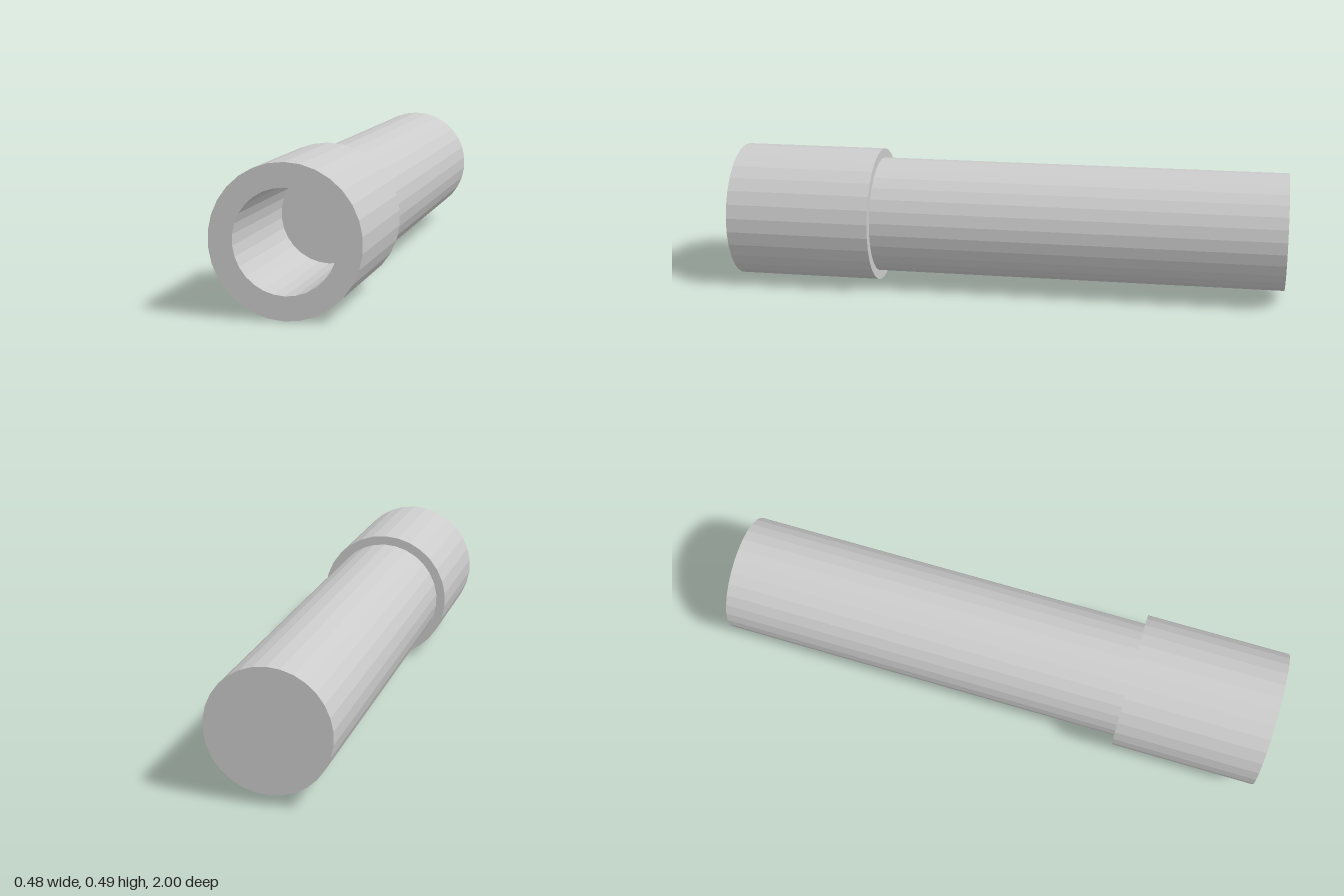
import * as THREE from 'three';

const SIDES = 30;
const RADIUS = 0.2435; // collar radius, also the height of the axis
const STEP_Z = 0.477; // where the collar meets the shaft

export function createModel() {
  const group = new THREE.Group();
  const material = new THREE.MeshStandardMaterial({ color: 0xcccccc, flatShading: true });

  // Turn a [radius, z] profile around the z axis
  function turned(name, profile) {
    const points = profile.map(([r, z]) => new THREE.Vector2(r, z));
    const geometry = new THREE.LatheGeometry(points, SIDES);
    geometry.rotateX(Math.PI / 2);
    const mesh = new THREE.Mesh(geometry, material);
    mesh.name = name;
    mesh.position.y = RADIUS;
    group.add(mesh);
  }

  // Solid shaft; its front face is the floor of the socket
  turned('shaft', [[0, -1], [0.21, -1], [0.21, STEP_Z], [0, STEP_Z]]);

  // Hollow collar: back ledge, outer wall, front rim, bore
  turned('collar', [
    [0.166, STEP_Z], [RADIUS, STEP_Z], [RADIUS, 1], [0.166, 1], [0.166, STEP_Z],
  ]);

  return group;
}
